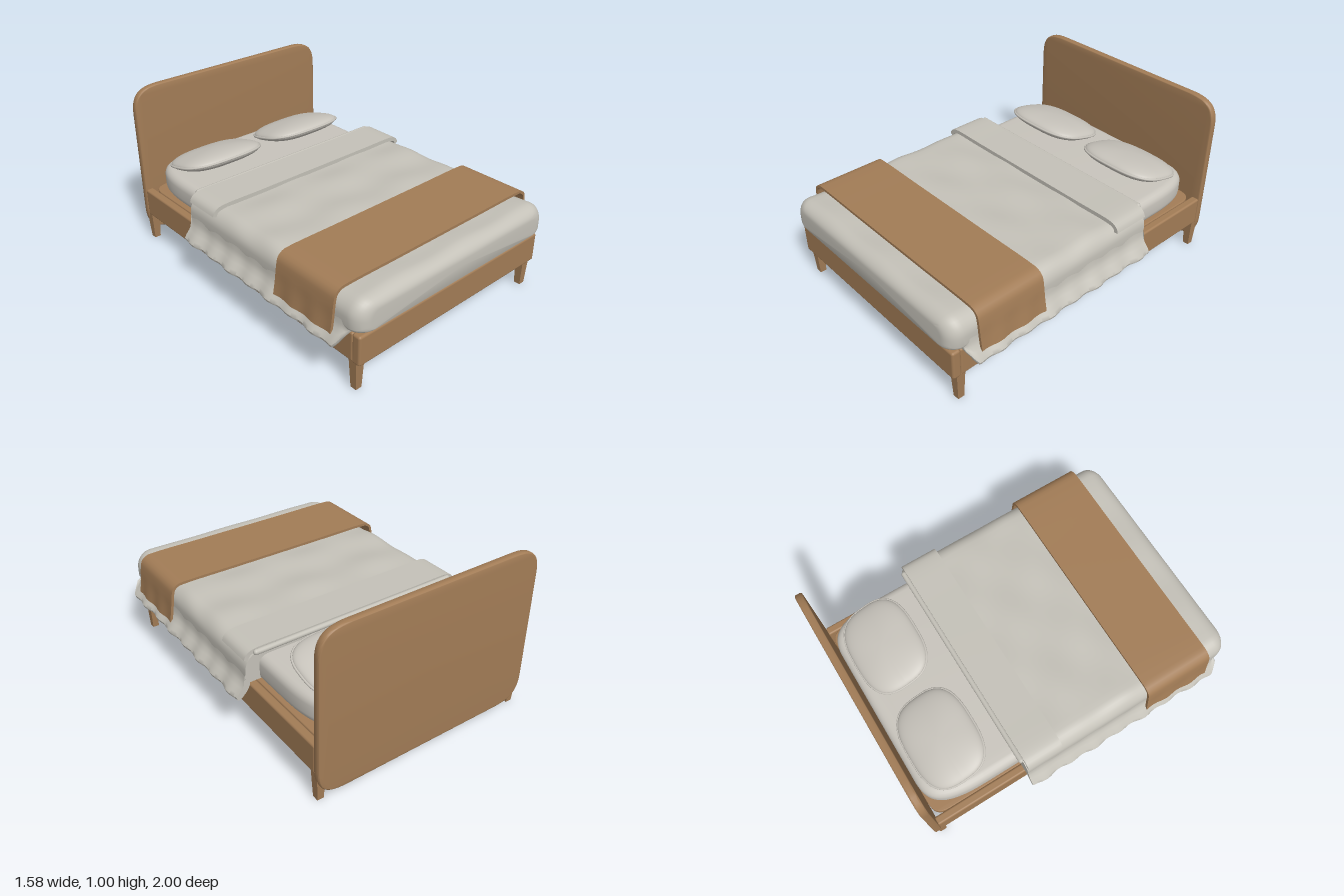
import * as THREE from 'three';
import { toCreasedNormals } from 'three/addons/utils/BufferGeometryUtils.js';
import { RoundedBoxGeometry } from 'three/addons/geometries/RoundedBoxGeometry.js';

const material = (name, color) => {
  const m = new THREE.MeshStandardMaterial({ color });
  m.name = name;
  return m;
};

// Slab with soft corners, thickness along z and centred
function slab(w, h, thickness, rx, ry, bevel) {
  const x = w / 2, y = h / 2, k = 0.27;
  const s = new THREE.Shape();
  s.moveTo(-x + rx, -y);
  s.lineTo(x - rx, -y);
  s.bezierCurveTo(x - rx * k, -y, x, -y + ry * k, x, -y + ry);
  s.lineTo(x, y - ry);
  s.bezierCurveTo(x, y - ry * k, x - rx * k, y, x - rx, y);
  s.lineTo(-x + rx, y);
  s.bezierCurveTo(-x + rx * k, y, -x, y - ry * k, -x, y - ry);
  s.lineTo(-x, -y + ry);
  s.bezierCurveTo(-x, -y + ry * k, -x + rx * k, -y, -x + rx, -y);
  const g = new THREE.ExtrudeGeometry(s, {
    depth: thickness - 2 * bevel, bevelThickness: bevel, bevelSize: bevel,
    bevelOffset: -bevel, bevelSegments: 5, curveSegments: 14,
  });
  g.translate(0, 0, bevel - thickness / 2);
  return toCreasedNormals(g, 0.7);
}

// Skin over counterclockwise rings ordered along +z, closed at both ends
function loft(rings) {
  const n = rings[0].length, pos = [], idx = [];
  rings.forEach(r => r.forEach(p => pos.push(p.x, p.y, p.z)));
  for (let i = 0; i < rings.length - 1; i++) {
    for (let j = 0; j < n; j++) {
      const k = (j + 1) % n, a = i * n + j, b = i * n + k;
      idx.push(a, b, b + n, a, b + n, a + n);
    }
  }
  [0, rings.length - 1].forEach((i, end) => {
    const c = new THREE.Vector3();
    rings[i].forEach(p => c.addScaledVector(p, 1 / n));
    const centre = pos.length / 3;
    pos.push(c.x, c.y, c.z);
    for (let j = 0; j < n; j++) {
      const a = i * n + j, b = i * n + (j + 1) % n;
      idx.push(centre, end ? a : b, end ? b : a);
    }
  });
  const g = new THREE.BufferGeometry();
  g.setAttribute('position', new THREE.Float32BufferAttribute(pos, 3));
  g.setIndex(idx);
  return toCreasedNormals(g, 0.8);
}

// Cloth of even thickness hung over the bed, from the right half of its outline
function drape(half, thickness, z0, z1) {
  const left = half.slice().reverse().map(([x, y]) => [-x, y]);
  const curve = new THREE.CatmullRomCurve3(
    [...half, ...left].map(([x, y]) => new THREE.Vector3(x, y, 0)), false, 'centripetal');
  const outer = [], inner = [];
  for (let i = 0; i <= 90; i++) {
    const p = curve.getPointAt(i / 90), t = curve.getTangentAt(i / 90);
    outer.push(new THREE.Vector2(p.x, p.y));
    inner.unshift(new THREE.Vector2(p.x - t.y * thickness, p.y + t.x * thickness));
  }
  const g = new THREE.ExtrudeGeometry(new THREE.Shape([...outer, ...inner]),
    { depth: z1 - z0, bevelEnabled: false, steps: 16 });
  g.translate(0, 0, z0);
  // Slight ripple towards the hanging hem
  const p = g.attributes.position;
  for (let i = 0; i < p.count; i++) {
    const hang = Math.max(0, 0.47 - p.getY(i)) / 0.14;
    p.setX(i, p.getX(i) + Math.sign(p.getX(i)) * hang * 0.005 * Math.sin(p.getZ(i) * 37));
  }
  return toCreasedNormals(g, 0.6);
}

// Duvet body: rounded section with a quilted top and a rounded foot end
function duvetGeometry() {
  const rings = [], steps = 60, z0 = -0.39, r = 0.085;
  const ring = (z, inset) => {
    const w = 0.72 - inset, top = 0.541 - inset * 0.7, bottom = 0.367 + inset * 0.1;
    const rt = 0.095 - inset * 0.5, rb = 0.03, pts = [];
    const arc = (cx, cy, rad, a0) => {
      for (let k = 0; k <= 8; k++) {
        const a = a0 + k / 8 * Math.PI / 2;
        pts.push(new THREE.Vector3(cx + rad * Math.cos(a), cy + rad * Math.sin(a), z));
      }
    };
    arc(w - rb, bottom + rb, rb, -Math.PI / 2);
    arc(w - rt, top - rt, rt, 0);
    for (let k = 1; k < 32; k++) {
      pts.push(new THREE.Vector3((w - rt) * (1 - k / 16), top, z));
    }
    arc(-w + rt, top - rt, rt, Math.PI / 2);
    arc(-w + rb, bottom + rb, rb, Math.PI);
    pts.forEach(p => {
      const k = THREE.MathUtils.smoothstep(p.y, 0.46, 0.53);
      p.y += k * (0.004 * Math.sin(p.x * 13 + 0.6) * Math.sin(z * 15 + 1) + 0.004 * Math.cos(z * 20));
    });
    return pts;
  };
  for (let i = 0; i <= steps; i++) rings.push(ring(z0 + (0.995 - r - z0) * i / steps, 0));
  for (let i = 1; i <= 10; i++) {
    const a = i / 10 * Math.PI / 2;
    rings.push(ring(0.995 - r + r * Math.sin(a), r * (1 - Math.cos(a))));
  }
  return loft(rings);
}

// Wavy hanging edge of the duvet, flaring outwards and rising at the foot
function flapGeometry(side) {
  const rings = [];
  for (let i = 0; i <= 90; i++) {
    const t = i / 90, z = -0.387 + 1.307 * t;
    const rise = THREE.MathUtils.smoothstep(t, 0.96, 1.01);
    const wave = 0.006 * Math.sin(z * 37) + 0.003 * Math.sin(z * 17 + 1) - rise * 0.05;
    const pts = [
      [0.690, 0.42, 0], [0.695, 0.35, 0.2], [0.715, 0.316, 0.6], [0.744, 0.288, 1],
      [0.764, 0.277, 1], [0.777, 0.281, 1], [0.781, 0.295, 1], [0.771, 0.312, 1],
      [0.746, 0.339, 0.8], [0.729, 0.364, 0.4], [0.721, 0.39, 0.1], [0.719, 0.44, 0],
    ].map(([x, y, k]) => new THREE.Vector3(
      side * (x + wave * k), y + Math.max(0, 0.38 - y) * rise * 0.9, z));
    rings.push(side > 0 ? pts : pts.reverse());
  }
  return loft(rings);
}

// Point on a soft rectangular outline
function softOutline(a, hx, hz) {
  const c = Math.cos(a), s = Math.sin(a), e = 2 / 2.9;
  return [hx * Math.sign(c) * Math.abs(c) ** e, hz * Math.sign(s) * Math.abs(s) ** e];
}

function pillowGeometry() {
  const g = new THREE.SphereGeometry(1, 56, 32), p = g.attributes.position;
  for (let i = 0; i < p.count; i++) {
    const y = p.getY(i), r = Math.sqrt(Math.max(0, 1 - y * y));
    const [x, z] = softOutline(Math.atan2(p.getZ(i), p.getX(i)), 0.272, 0.205);
    p.setXYZ(i, x * r, 0.057 * Math.sign(y) * Math.abs(y) ** 0.95, z * r);
  }
  g.computeVertexNormals();
  return g;
}

export function createModel() {
  const bed = new THREE.Group();
  bed.name = 'bed';
  const wood = material('wood', 0xa27c56);
  const linen = material('linen', 0xc8c4bc);
  const cover = material('duvetCover', 0xc4c1b8);

  const add = (name, geometry, mat, x = 0, y = 0, z = 0, parent = bed) => {
    const m = new THREE.Mesh(geometry, mat);
    m.name = name;
    m.position.set(x, y, z);
    parent.add(m);
    return m;
  };

  // Wooden frame
  add('headboard', slab(1.385, 0.965, 0.043, 0.18, 0.16, 0.01), wood, 0, 0.5225, -0.9785);
  add('footRail', new RoundedBoxGeometry(1.385, 0.178, 0.055, 4, 0.014), wood, 0, 0.259, 0.945);
  add('platform', slab(1.28, 1.87, 0.06, 0.1, 0.1, 0.004), wood, 0, 0.315, -0.015).rotation.x = -Math.PI / 2;
  for (const side of [-1, 1]) {
    add('sideRail', new RoundedBoxGeometry(0.05, 0.173, 1.88, 4, 0.012), wood, side * 0.665, 0.257, -0.02);
    for (const z of [0.92, -0.953]) {
      const leg = new THREE.CylinderGeometry(0.027 * Math.SQRT2, 0.019 * Math.SQRT2, 0.18, 4, 1).toNonIndexed();
      leg.rotateY(Math.PI / 4);
      leg.computeVertexNormals();
      add('leg', leg, wood, side * 0.66, 0.09, z);
    }
  }

  // Mattress and bedding
  add('mattress', slab(1.27, 1.87, 0.16, 0.2, 0.34, 0.05), linen, 0, 0.426, -0.015).rotation.x = -Math.PI / 2;
  add('duvet', duvetGeometry(), cover);
  for (const side of [-1, 1]) add('duvetSide', flapGeometry(side), cover);
  add('duvetFold', drape([[0.722, 0.51], [0.712, 0.535], [0.688, 0.554], [0.65, 0.562], [0.4, 0.562]],
    0.025, -0.385, -0.158), cover);
  const roll = new THREE.CapsuleGeometry(0.016, 1.31, 6, 14);
  roll.rotateZ(Math.PI / 2);
  add('foldedEdge', roll, cover, 0, 0.546, -0.397);
  add('throwBlanket', drape([[0.76, 0.33], [0.747, 0.41], [0.737, 0.49], [0.724, 0.54], [0.69, 0.566],
    [0.64, 0.571], [0.3, 0.571]], 0.016, 0.412, 0.838), wood);

  // Tilted pillows with piping round the seam
  const seam = [];
  for (let i = 0; i < 48; i++) {
    const [x, z] = softOutline(i / 48 * Math.PI * 2, 0.273, 0.206);
    seam.push(new THREE.Vector3(x, 0, z));
  }
  const piping = new THREE.TubeGeometry(new THREE.CatmullRomCurve3(seam, true), 96, 0.007, 8, true);
  for (const side of [-1, 1]) {
    const pillow = new THREE.Group();
    pillow.name = 'pillow';
    pillow.position.set(side * 0.317, 0.557, -0.71);
    pillow.rotation.x = -0.26;
    bed.add(pillow);
    add('pillowCushion', pillowGeometry(), linen, 0, 0, 0, pillow);
    add('pillowPiping', piping, linen, 0, 0, 0, pillow);
  }
  return bed;
}
